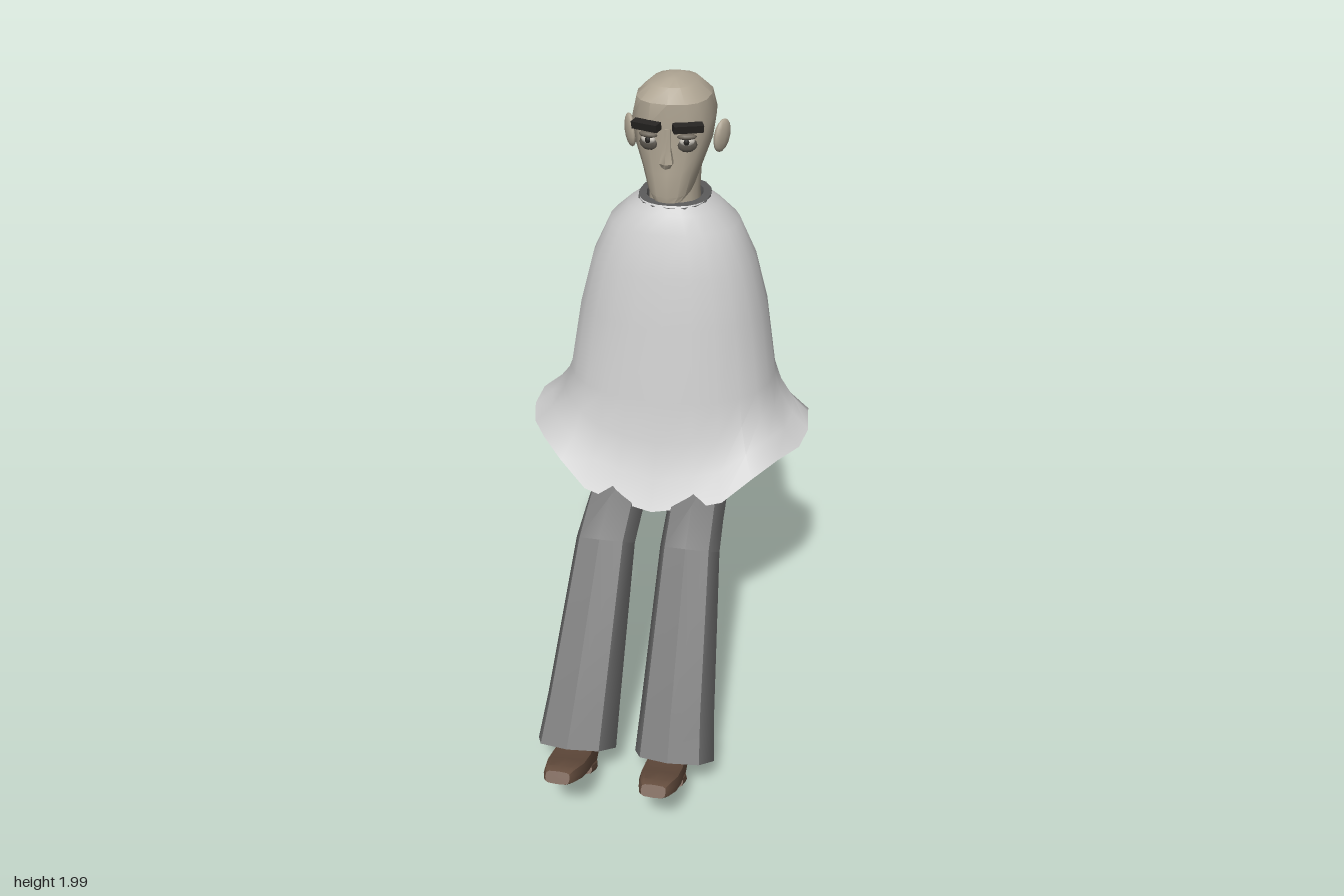
import * as THREE from 'three';
import { toCreasedNormals } from 'three/addons/utils/BufferGeometryUtils.js';

const mat = (color, side = THREE.FrontSide) => new THREE.MeshStandardMaterial({ color, side });
const V = (x, y, z) => new THREE.Vector3(x, y, z);

// Closed cross-section running front -> +x -> back; p < 1 makes it squarer
function ring(yF, zF, yB, zB, w, cx = 0, n = 16, p = 0.85) {
  const pw = v => Math.sign(v) * Math.abs(v) ** p;
  return Array.from({ length: n }, (_, i) => {
    const a = (i / n) * Math.PI * 2, c = pw(Math.cos(a)) / 2;
    return V(cx + w * pw(Math.sin(a)), (yF + yB) / 2 + c * (yF - yB), (zF + zB) / 2 + c * (zF - zB));
  });
}

// Skin a stack of cross-sections, optionally closing both ends
function loft(rings, { caps = true, crease = 0.6 } = {}) {
  const n = rings[0].length, pos = [], idx = [];
  rings.forEach(r => r.forEach(v => pos.push(v.x, v.y, v.z)));
  for (let j = 0; j < rings.length - 1; j++)
    for (let i = 0; i < n; i++) {
      const a = j * n + i, b = j * n + (i + 1) % n;
      idx.push(a, b, b + n, a, b + n, a + n);
    }
  if (caps) for (const j of [0, rings.length - 1]) {
    const c = rings[j].reduce((s, v) => s.add(v), V(0, 0, 0)).divideScalar(n);
    const k = pos.length / 3;
    pos.push(c.x, c.y, c.z);
    for (let i = 0; i < n; i++) {
      const a = j * n + i, b = j * n + (i + 1) % n;
      idx.push(k, ...(j ? [a, b] : [b, a]));
    }
  }
  const g = new THREE.BufferGeometry();
  g.setAttribute('position', new THREE.Float32BufferAttribute(pos, 3));
  g.setIndex(idx);
  g.computeVertexNormals();
  return toCreasedNormals(g, crease);
}

export function createModel() {
  const model = new THREE.Group();
  const skin = mat(0xb0a694), grey = mat(0x7c7c7c), brown = mat(0x6b5242);
  const dark = mat(0x262422), collarMat = mat(0x5a5a5a, THREE.DoubleSide);
  const add = (name, geo, material, parent = model) => {
    const m = new THREE.Mesh(geo, material);
    m.name = name;
    parent.add(m);
    return m;
  };

  // Cape: rings from the chest up, flaring down to an uneven hem
  const body = [
    [1.06, 0.325, -0.10, -0.625], [1.285, 0.29, -0.14, -0.60], [1.44, 0.25, -0.17, -0.56],
    [1.56, 0.195, -0.205, -0.52], [1.61, 0.14, -0.23, -0.49], [1.635, 0.105, -0.25, -0.47],
  ].map(([y, w, f, b]) => ring(y, f, y, b, w, 0, 24, 0.87));
  const hemHalf = [
    [0, 0.735, 0.015], [0.12, 0.76, 0.01], [0.215, 0.78, -0.01], [0.30, 0.85, -0.05],
    [0.37, 0.885, -0.12], [0.425, 0.88, -0.22], [0.445, 0.90, -0.30], [0.435, 0.92, -0.38],
    [0.43, 0.88, -0.47], [0.385, 0.80, -0.56], [0.27, 0.735, -0.67], [0.15, 0.70, -0.70], [0, 0.625, -0.71],
  ];
  const hem = Array.from({ length: 24 }, (_, i) => {
    const [x, y, z] = hemHalf[i <= 12 ? i : 24 - i];
    return V(i <= 12 ? x : -x, y, z);
  });
  const flare = [[0.75, 0.55], [0.4, 0.2]].map(([ty, th]) => hem.map((h, i) => {
    const b = body[0][i];
    return V(b.x + (h.x - b.x) * th, b.y + (h.y - b.y) * ty, b.z + (h.z - b.z) * th);
  }));
  add('cape', loft([hem, ...flare, ...body], { caps: false, crease: 0.7 }), mat(0xcccccc, THREE.DoubleSide));

  // Collar around the neck
  add('collar', loft([
    ring(1.595, -0.235, 1.61, -0.485, 0.115), ring(1.63, -0.245, 1.645, -0.475, 0.108),
    ring(1.635, -0.28, 1.645, -0.445, 0.085), ring(1.60, -0.29, 1.60, -0.44, 0.075),
  ], { caps: false }), collarMat);

  // Head and neck
  const head = new THREE.Group();
  head.name = 'head';
  model.add(head);
  add('neck', loft([ring(1.56, -0.285, 1.56, -0.44, 0.08), ring(1.66, -0.29, 1.66, -0.435, 0.076),
    ring(1.76, -0.28, 1.76, -0.45, 0.08)]), skin, head);
  add('skull', loft([
    [1.653, -0.224, 1.665, -0.30, 0.045], [1.67, -0.22, 1.71, -0.41, 0.068],
    [1.74, -0.222, 1.76, -0.452, 0.088], [1.80, -0.226, 1.84, -0.48, 0.112],
    [1.88, -0.222, 1.90, -0.478, 0.122], [1.945, -0.222, 1.95, -0.467, 0.108],
    [1.985, -0.25, 1.985, -0.43, 0.066], [2.0, -0.29, 2.0, -0.38, 0.022],
  ].map(r => ring(...r, 0, 16, 0.8))), skin, head);

  // Nose: a wedge growing towards its tip
  add('nose', loft([
    ring(1.765, -0.195, 1.765, -0.25, 0.014, 0, 6, 1), ring(1.78, -0.188, 1.775, -0.25, 0.022, 0, 6, 1),
    ring(1.82, -0.203, 1.82, -0.25, 0.013, 0, 6, 1), ring(1.875, -0.215, 1.875, -0.25, 0.012, 0, 6, 1),
  ]), skin, head);

  for (const s of [1, -1]) {
    // Ear, flaring backwards
    const ear = add('ear', new THREE.SphereGeometry(1, 10, 8), skin, head);
    ear.scale.set(0.014, 0.05, 0.034);
    ear.position.set(s * 0.136, 1.818, -0.368);
    ear.rotation.set(-0.2, -s * 0.55, -s * 0.15);
    // Eye with iris, lid and shadow below it
    const eyeParts = [
      ['eyeBag', 0x5d5850, 0.029, 0.022, 0.010, 1.828, -0.237],
      ['eye', 0xcfcac0, 0.023, 0.014, 0.012, 1.84, -0.233],
      ['iris', 0x262422, 0.009, 0.010, 0.006, 1.84, -0.224],
      ['eyelid', 0x6f685d, 0.029, 0.009, 0.014, 1.854, -0.231],
    ];
    for (const [name, color, a, b, c, y, z] of eyeParts) {
      const m = add(name, new THREE.SphereGeometry(1, 10, 6), mat(color), head);
      m.scale.set(a, b, c);
      m.position.set(s * 0.056, y, z);
      m.rotation.y = s * 0.25;
    }
    // Eyebrow
    const brow = add('eyebrow', new THREE.BoxGeometry(0.086, 0.022, 0.026), dark, head);
    brow.position.set(s * 0.06, 1.883, -0.222);
    brow.rotation.set(0.2, s * 0.4, -s * 0.1);
  }

  // Flared trousers: hem, shin, knee, thigh, hip, waist
  const legRings = [
    [0.215, 0.545, 0.045, 0.295, 0.122, 0.152], [0.33, 0.455, 0.17, 0.225, 0.113, 0.146],
    [0.71, 0.155, 0.595, -0.015, 0.092, 0.132], [0.78, 0.02, 0.615, -0.10, 0.09, 0.128],
    [0.865, -0.17, 0.645, -0.27, 0.094, 0.118], [0.95, -0.29, 0.68, -0.44, 0.10, 0.105],
    [1.0, -0.28, 0.785, -0.535, 0.105, 0.095], [1.1, -0.27, 1.06, -0.55, 0.10, 0.085],
  ];

  // Shoe coordinates: s along the sole from the heel, n away from the sole
  const at = (s, n) => [0.01 + s * 0.585 + n * 0.81, 0.397 + s * 0.81 - n * 0.585];
  const shoeRing = (s, top, bottom, w) => ring(...at(s, top), ...at(s, bottom), w, 0.14, 12, 0.5);
  const shoe = [[0.385, 0.036, 0, 0.036], [0.365, 0.05, 0, 0.046], [0.29, 0.062, 0.004, 0.058],
    [0.21, 0.08, 0.012, 0.06], [0.12, 0.11, 0.018, 0.054], [0.04, 0.13, 0.015, 0.05], [0, 0.12, 0.015, 0.042]];
  const heel = [[0.142, 0.03, 0, 0.054], [0.05, 0.03, 0, 0.053], [0, 0.03, 0, 0.043]];

  for (const s of [1, -1]) {
    // Mirroring by reflecting each cross-section keeps the faces outward
    const mirror = rings => rings.map(r => (s > 0 ? r :
      r.map((_, i) => { const v = r[(r.length - i) % r.length]; return V(-v.x, v.y, v.z); })));
    const limb = new THREE.Group();
    limb.name = s > 0 ? 'leftLeg' : 'rightLeg';
    model.add(limb);
    add('trouserLeg', loft(mirror(legRings.map(r => ring(...r, 8, 0.9))), { crease: 0.75 }), grey, limb);
    add('shoe', loft(mirror(shoe.map(r => shoeRing(...r)))), brown, limb);
    add('heel', loft(mirror(heel.map(r => shoeRing(...r)))), brown, limb);
  }
  return model;
}
